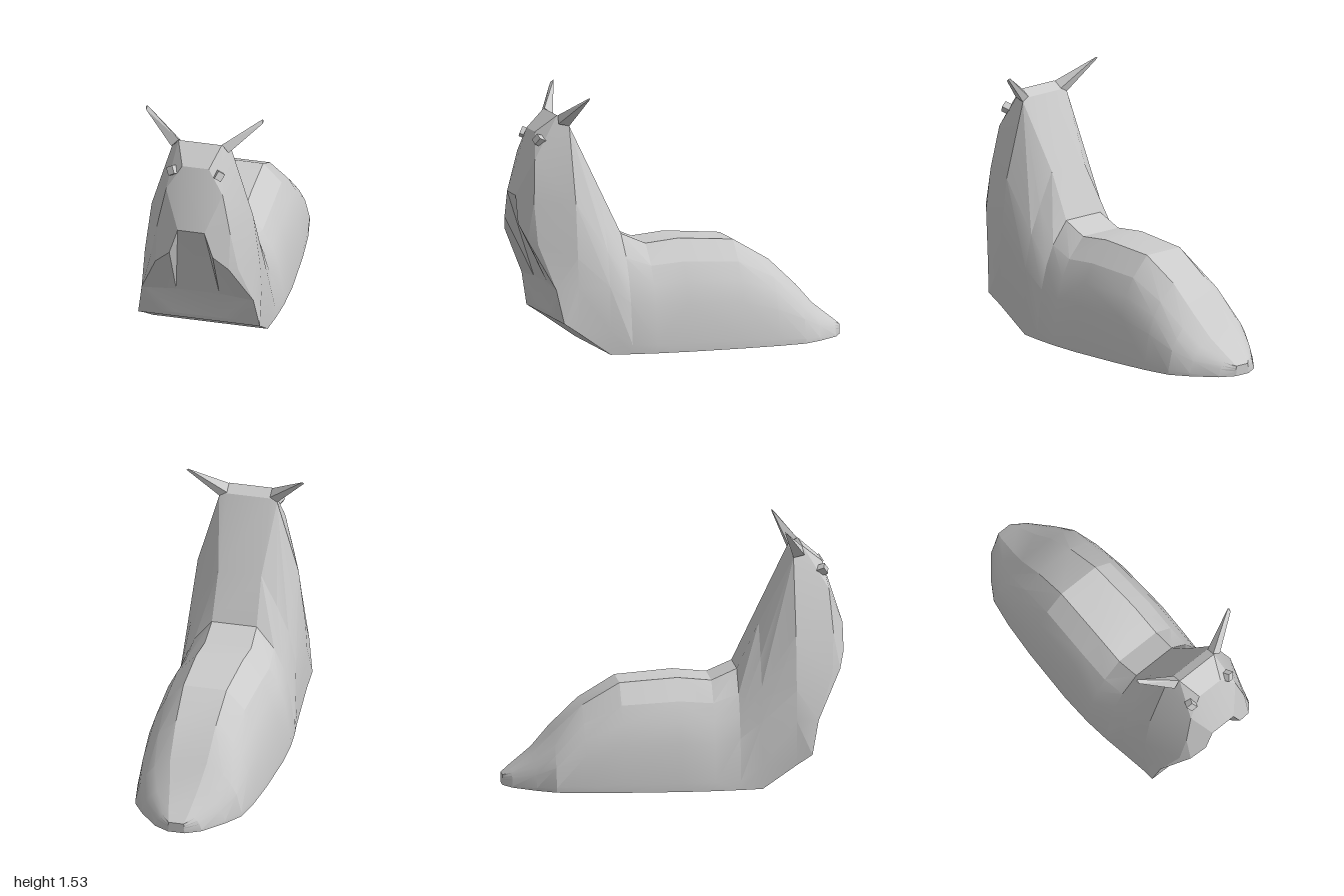
import * as THREE from 'three';
import { toCreasedNormals } from 'three/addons/utils/BufferGeometryUtils.js';
import { ConvexGeometry } from 'three/addons/geometries/ConvexGeometry.js';

const material = new THREE.MeshStandardMaterial({ color: 0xcccccc });
const flat = new THREE.MeshStandardMaterial({ color: 0xcccccc, flatShading: true });

// Left half of a body cross-section, from sole to back:
// z position, half width w, height t, half width s of the flat strip on the back
function bodyRing([z, w, t, s]) {
  const mix = (k) => s + (w - s) * k;
  return [
    [w, 0, z], [w, 0.08 * t, z], [0.91 * w, 0.44 * t, z],
    [mix(0.69), 0.64 * t, z], [mix(0.46), 0.81 * t, z], [s, t, z],
  ];
}

const bodyStations = [
  [-1, 0.05, 0.06, 0.045], [-0.95, 0.14, 0.1, 0.06], [-0.82, 0.25, 0.2, 0.085],
  [-0.71, 0.32, 0.32, 0.11], [-0.54, 0.35, 0.48, 0.12], [-0.32, 0.37, 0.61, 0.13],
  [0.02, 0.385, 0.635, 0.14], [0.22, 0.38, 0.615, 0.14], [0.37, 0.365, 0.68, 0.135],
];

// Half sections of the raised neck and head; the last one is the sunken mouth,
// whose side walls fan out from one corner
const mouthCorner = [0.13, 0.41, 0.82];
const headRings = [
  [[0.345, 0, 0.5], [0.35, 0.14, 0.5], [0.34, 0.4, 0.5], [0.295, 0.6, 0.5], [0.225, 0.76, 0.5], [0.13, 0.95, 0.5]],
  [[0.355, 0.14, 0.7], [0.355, 0.4, 0.7], [0.345, 0.58, 0.7], [0.305, 0.9, 0.7], [0.175, 1.34, 0.7], [0.13, 1.36, 0.7]],
  [[0.365, 0.2, 0.79], [0.335, 0.4, 0.83], [0.265, 0.66, 0.92], [0.22, 0.9, 0.93], [0.17, 1.15, 0.91], [0.13, 1.4, 0.76]],
  [[0.23, 0.23, 0.8], [0.31, 0.4, 0.83], [0.22, 0.68, 0.97], [0.13, 0.77, 1], [0.08, 0.93, 1], [0.08, 1.3, 0.88]],
  [[0.13, 0.23, 0.8], mouthCorner, mouthCorner, mouthCorner, [0.08, 0.93, 1], [0.08, 1.3, 0.88]],
];

// Mirror the half sections, skin them and close both ends
function skin(halves) {
  const rings = halves.map((half) => [
    ...half, ...half.map(([x, y, z]) => [-x, y, z]).reverse(),
  ].map((p) => new THREE.Vector3(...p)));
  const n = rings[0].length;
  const pos = [];
  const tri = (a, b, c) => {
    if (new THREE.Triangle(a, b, c).getArea() < 1e-7) return;
    for (const p of [a, b, c]) pos.push(p.x, p.y, p.z);
  };
  // Split along the diagonal that bulges outwards, so both sides match
  const quad = (a, b, c, d) => {
    const normal = b.clone().sub(a).cross(c.clone().sub(a));
    if (normal.dot(d.clone().sub(a)) <= 1e-9) { tri(a, b, c); tri(a, c, d); }
    else { tri(a, b, d); tri(b, c, d); }
  };

  for (let i = 0; i < rings.length - 1; i++) {
    const r = rings[i], q = rings[i + 1];
    for (let j = 0; j < n; j++) {
      const k = (j + 1) % n;
      quad(r[j], r[k], q[k], q[j]);
    }
  }
  const tail = rings[0], front = rings[rings.length - 1];
  for (let j = 0; j < n / 2 - 1; j++) {
    const m = n - 1 - j;
    quad(front[j], front[j + 1], front[m - 1], front[m]);
    quad(tail[m], tail[m - 1], tail[j + 1], tail[j]);
  }
  const geometry = new THREE.BufferGeometry();
  geometry.setAttribute('position', new THREE.Float32BufferAttribute(pos, 3));
  return toCreasedNormals(geometry, 0.25);
}

// Pointed feeler growing out of the corner of the crown
const feelerCorners = [
  [0.13, 1.4, 0.755], [0.13, 1.365, 0.703], [0.175, 1.34, 0.7], [0.172, 1.355, 0.765],
  [0.345, 1.53, 0.63], [0.355, 1.522, 0.63], [0.35, 1.512, 0.65],
];

function feeler(side) {
  const corners = feelerCorners.map(([x, y, z]) => new THREE.Vector3(side * x, y, z));
  const mesh = new THREE.Mesh(new ConvexGeometry(corners), flat);
  mesh.name = side > 0 ? 'leftFeeler' : 'rightFeeler';
  return mesh;
}

// Small faceted eye standing off the face
function eye(side) {
  const mesh = new THREE.Mesh(new THREE.BoxGeometry(0.044, 0.05, 0.06), flat);
  mesh.position.set(side * 0.137, 1.258, 0.87);
  mesh.rotation.set(-0.4, side * 0.4, side * -0.45);
  mesh.name = side > 0 ? 'leftEye' : 'rightEye';
  return mesh;
}

export function createModel() {
  const group = new THREE.Group();
  group.name = 'slug';
  const body = new THREE.Mesh(skin([...bodyStations.map(bodyRing), ...headRings]), material);
  body.name = 'body';
  group.add(body);
  for (const side of [1, -1]) group.add(feeler(side), eye(side));
  return group;
}
